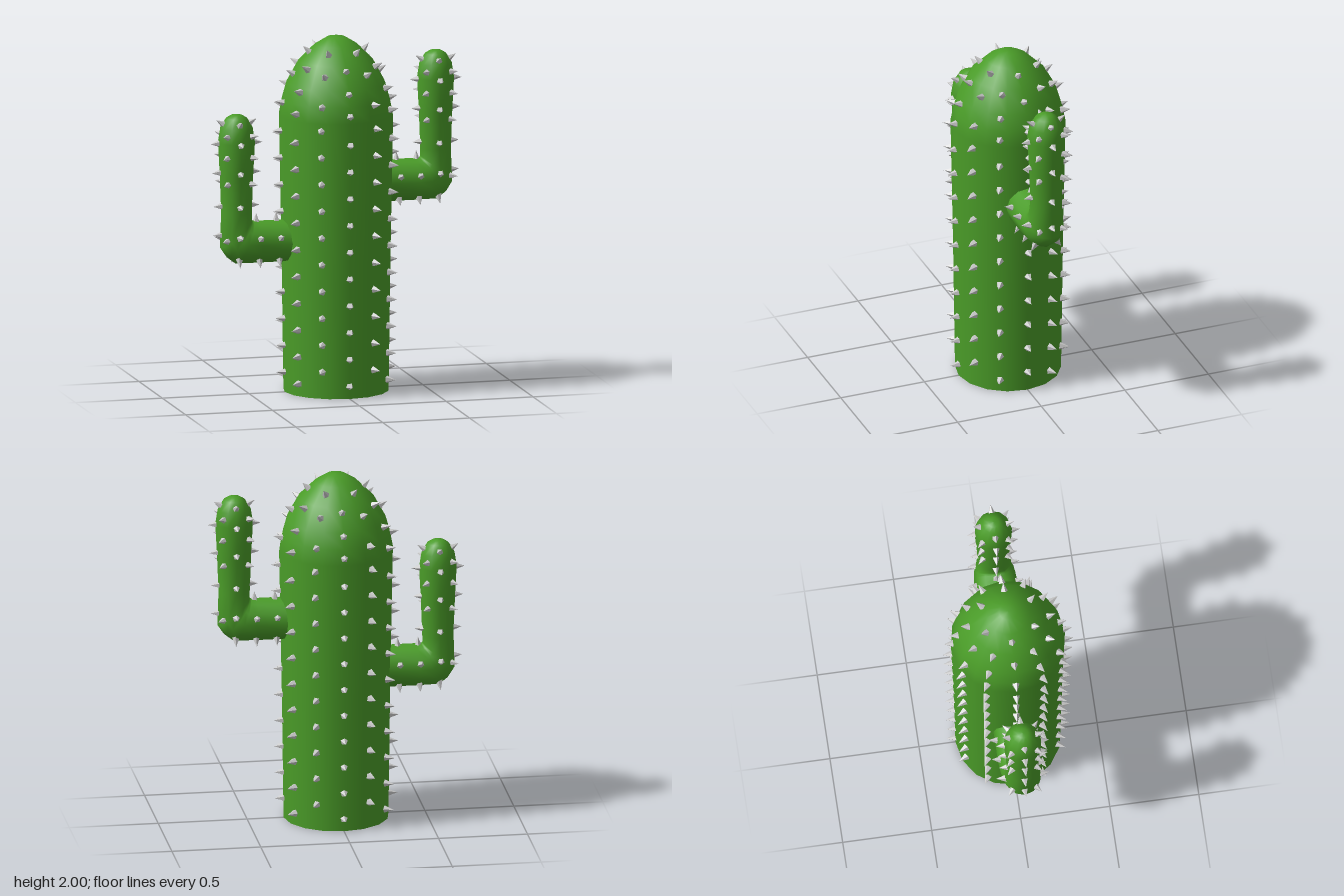
import * as THREE from 'three';
import { mergeGeometries } from 'three/addons/utils/BufferGeometryUtils.js';

const green = new THREE.MeshStandardMaterial({ color: 0x4a9c28 });
const grey = new THREE.MeshStandardMaterial({ color: 0xcccccc, flatShading: true });
const UP = new THREE.Vector3(0, 1, 0);

// [radius, height] outlines
const TRUNK = [[0.295, 0], [0.305, 0.75], [0.32, 1.56], [0.303, 1.65], [0.278, 1.74],
  [0.21, 1.865], [0.12, 1.955], [0.05, 1.998], [0, 2]];
const ARM = [[0.088, 1.34], [0.096, 1.55], [0.106, 1.74], [0.093, 1.82], [0.06, 1.875], [0.03, 1.893], [0, 1.896]];
const ARM_X = 0.573;

// Five-sided thorn whose base sits just inside the surface
function thorn(point, normal, size = 1) {
  const g = new THREE.ConeGeometry(0.025 * size, 0.062 * size, 5);
  g.translate(0, 0.018 * size, 0);
  g.applyQuaternion(new THREE.Quaternion().setFromUnitVectors(UP, normal.clone().normalize()));
  return g.translate(point.x, point.y, point.z);
}

// Thorn on a round outline at a given height and angle (0 = front, 90 = left)
function thornOn(outline, cx, y, degrees, size) {
  let i = 0;
  while (i < outline.length - 2 && outline[i + 1][1] < y) i++;
  const [r0, y0] = outline[i], [r1, y1] = outline[i + 1];
  const r = r0 + (r1 - r0) * (y - y0) / (y1 - y0);
  const a = THREE.MathUtils.degToRad(degrees), s = Math.sin(a), c = Math.cos(a);
  return thorn(new THREE.Vector3(cx + r * s, y, r * c),
    new THREE.Vector3(s * (y1 - y0), r0 - r1, c * (y1 - y0)), size);
}

// Skin through rings given as [outerX, outerY, innerX, innerY, halfDepth]
function loft(rings, sides) {
  const pos = [], index = [];
  for (const [ox, oy, ix, iy, depth] of rings) {
    for (let j = 0; j < sides; j++) {
      const a = j / sides * Math.PI * 2, t = Math.cos(a) / 2;
      pos.push((ox + ix) / 2 + t * (ox - ix), (oy + iy) / 2 + t * (oy - iy), depth * Math.sin(a));
    }
  }
  for (let i = 0; i < rings.length - 1; i++) {
    for (let j = 0; j < sides; j++) {
      const k = (j + 1) % sides, a = i * sides + j, b = i * sides + k;
      index.push(a, a + sides, b, b, a + sides, b + sides);
    }
  }
  const g = new THREE.BufferGeometry();
  g.setAttribute('position', new THREE.Float32BufferAttribute(pos, 3));
  g.setIndex(index);
  g.computeVertexNormals();
  return g;
}

function mesh(name, geometry, material) {
  const m = new THREE.Mesh(geometry, material);
  m.name = name;
  return m;
}

function createArm(name) {
  const arm = new THREE.Group();
  arm.name = name;

  // Sideways stub, elbow, then upright with a rounded tip
  const rings = [
    [0.2, 1.05, 0.2, 1.288, 0.122],
    [0.46, 1.05, 0.45, 1.288, 0.122],
    [0.58, 1.052, 0.478, 1.29, 0.116],
    [0.63, 1.09, 0.484, 1.294, 0.11],
    [0.667, 1.145, 0.486, 1.3, 0.1],
    ...ARM.map(([r, y]) => [ARM_X + r, y, ARM_X - r, y, r]),
  ];
  arm.add(mesh('armBody', loft(rings, 12), green));

  const thorns = [];
  // Five rows along the stub
  for (const x of [0.345, 0.46]) {
    for (let k = 0; k < 5; k++) {
      const a = k / 5 * Math.PI * 2;
      const n = new THREE.Vector3(0, Math.cos(a), Math.sin(a));
      thorns.push(thorn(new THREE.Vector3(x, 1.169 + 0.119 * n.y, 0.122 * n.z), n, 0.9));
    }
  }
  // Elbow
  for (const s of [-1, 1]) {
    thorns.push(thorn(new THREE.Vector3(0.575, 1.21, s * 0.105), new THREE.Vector3(0, 0.1, s), 0.9));
    thorns.push(thorn(new THREE.Vector3(0.572, 1.075, s * 0.065), new THREE.Vector3(0.1, -1, s * 0.7), 0.9));
    thorns.push(thorn(new THREE.Vector3(0.642, 1.19, s * 0.065), new THREE.Vector3(1, 0, s * 0.8), 0.9));
  }
  thorns.push(thorn(new THREE.Vector3(0.664, 1.215, 0), new THREE.Vector3(1, 0, 0), 0.9));
  // Eight staggered columns up the arm
  for (let k = 0; k < 8; k++) {
    const heights = k % 2 ? [1.51, 1.66, 1.78] : [1.38, 1.57, 1.735, 1.845];
    for (const y of heights) thorns.push(thornOn(ARM, ARM_X, y, k * 45, 0.9));
  }
  arm.add(mesh('armThorns', mergeGeometries(thorns), grey));
  return arm;
}

export function createModel() {
  const cactus = new THREE.Group();
  cactus.name = 'cactus';

  // Trunk and its underside
  cactus.add(mesh('trunk', new THREE.LatheGeometry(TRUNK.map(p => new THREE.Vector2(...p)), 16), green));
  const base = mesh('trunkBase', new THREE.CircleGeometry(TRUNK[0][0], 16), green);
  base.rotation.x = Math.PI / 2;
  cactus.add(base);

  // Twelve thorn columns, staggered in height
  const rows = (start, count, ...top) => [...Array.from({ length: count }, (_, i) => start + 0.152 * i), ...top];
  const low = rows(0.07, 10, 1.6, 1.72, 1.84);
  const high = rows(0.15, 10, 1.65, 1.81, 1.92);
  const side = rows(0.115, 10, 1.64, 1.8, 1.92);
  const thorns = [];
  for (let k = 0; k < 12; k++) {
    const heights = k % 6 === 3 ? side : k % 3 === 0 || k % 6 === 2 || k % 6 === 4 ? low : high;
    for (const y of heights) {
      // Leave room where the arms join
      if (k === 3 && y > 1.02 && y < 1.32) continue;
      if (k === 9 && y > 0.71 && y < 1.01) continue;
      thorns.push(thornOn(TRUNK, 0, y, k * 30));
    }
  }
  cactus.add(mesh('trunkThorns', mergeGeometries(thorns), grey));

  // High arm on the left, lower one turned to the right
  cactus.add(createArm('leftArm'));
  const right = createArm('rightArm');
  right.rotation.y = Math.PI;
  right.position.y = -0.31;
  cactus.add(right);
  return cactus;
}
